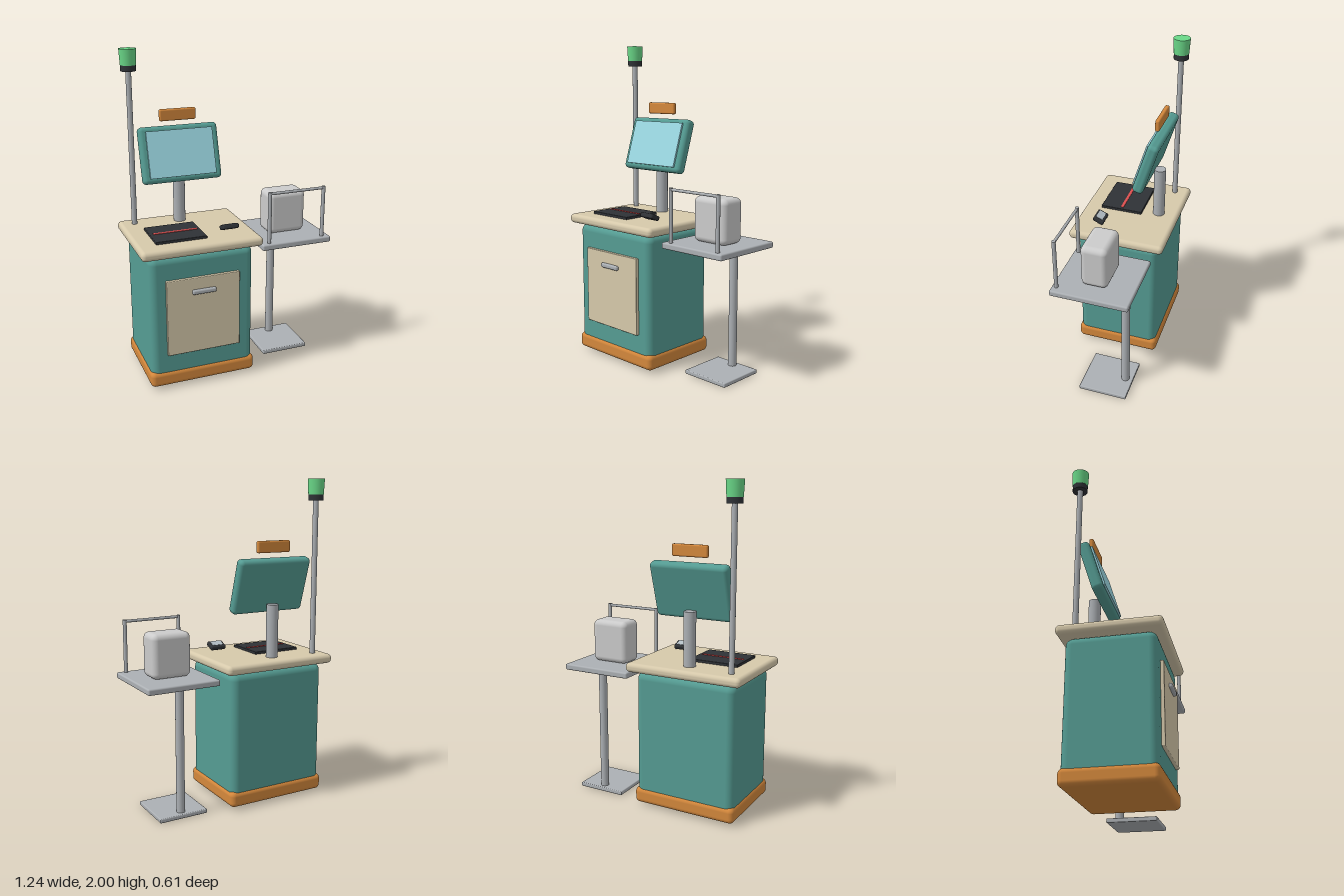
import * as THREE from 'three';
import { RoundedBoxGeometry } from 'three/addons/geometries/RoundedBoxGeometry.js';

const mat = (color) => new THREE.MeshStandardMaterial({ color });

export function createModel() {
  const root = new THREE.Group();
  root.name = 'checkoutKiosk';

  const teal = mat(0x559c93), orange = mat(0xd4883c), cream = mat(0xd6c9ab);
  const black = mat(0x2f3236), metal = mat(0xacb0b4), glass = mat(0x9bd8e2);
  const green = mat(0x6ad888), red = mat(0xdd4f4f), grey = mat(0xcccccc);

  const add = (name, geometry, material, x, y, z, parent = root) => {
    const mesh = new THREE.Mesh(geometry, material);
    mesh.name = name;
    mesh.position.set(x, y, z);
    parent.add(mesh);
    return mesh;
  };
  const rounded = (w, h, d, r) => new RoundedBoxGeometry(w, h, d, 4, r);
  const box = (w, h, d) => new THREE.BoxGeometry(w, h, d);
  const rod = (r, h, rTop = r) => new THREE.CylinderGeometry(rTop, r, h, 24);
  const group = (name, x, y, z, tilt = 0) => {
    const g = new THREE.Group();
    g.name = name;
    g.position.set(x, y, z);
    g.rotation.x = tilt;
    root.add(g);
    return g;
  };

  // Cabinet with plinth, worktop and door
  add('cabinet', rounded(0.65, 0.82, 0.52, 0.045), teal, -0.245, 0.45, 0);
  add('plinth', rounded(0.67, 0.1, 0.54, 0.03), orange, -0.245, 0.07, 0);
  add('worktop', rounded(0.75, 0.058, 0.607, 0.025), cream, -0.245, 0.893, 0);
  add('door', rounded(0.46, 0.485, 0.03, 0.005), cream, -0.245, 0.473, 0.265);
  add('doorHandle', rounded(0.15, 0.03, 0.024, 0.011), metal, -0.245, 0.63, 0.289);

  // Scanner plate with red beam slot
  add('scannerPlate', rounded(0.315, 0.024, 0.27, 0.004), black, -0.348, 0.926, 0.06);
  add('scannerBeam', box(0.275, 0.004, 0.018), red, -0.348, 0.939, 0.06);

  // Card reader, tilted
  const reader = group('cardReader', -0.032, 0.957, 0.145, -0.4);
  add('readerBody', rounded(0.105, 0.03, 0.072, 0.01), black, 0, 0, 0, reader);
  add('readerScreen', box(0.075, 0.004, 0.044), mat(0xb4bfc6), 0, 0.015, 0.003, reader);

  // Monitor on its stem, leaning back
  add('monitorStem', rod(0.037, 0.33), metal, -0.245, 1.085, -0.178);
  const monitor = group('monitor', -0.245, 1.365, -0.147, -0.3);
  add('monitorCase', rounded(0.5, 0.345, 0.07, 0.025), teal, 0, 0, 0, monitor);
  add('monitorScreen', box(0.42, 0.285, 0.014), glass, 0, 0, 0.039, monitor);

  // Lane sign above the monitor
  add('sign', rounded(0.23, 0.072, 0.028, 0.01), orange, -0.245, 1.6, -0.18);

  // Signal lamp on a pole
  add('lampPole', rod(0.017, 0.97), metal, -0.53, 1.395, -0.21);
  add('lampCollar', rod(0.046, 0.04), black, -0.53, 1.89, -0.21);
  add('lamp', rod(0.047, 0.095, 0.052), green, -0.53, 1.9525, -0.21);

  // Bagging stand: foot, post and shelf
  add('standFoot', rounded(0.312, 0.026, 0.31, 0.006), metal, 0.385, 0.017, -0.053);
  add('standPost', rod(0.026, 0.79), metal, 0.385, 0.415, -0.16);
  add('shelf', rounded(0.462, 0.038, 0.48, 0.01), metal, 0.386, 0.82, -0.004);

  // Guard rail along the front of the shelf
  for (const side of [-1, 1]) {
    add('railPost', rod(0.012, 0.33), metal, 0.387 + side * 0.18, 1.0, 0.207);
  }
  add('railBar', rod(0.009, 0.36), metal, 0.387, 1.155, 0.207).rotation.z = Math.PI / 2;

  // Bag on the shelf
  add('bag', rounded(0.25, 0.272, 0.165, 0.035), grey, 0.387, 0.975, -0.002);

  return root;
}
